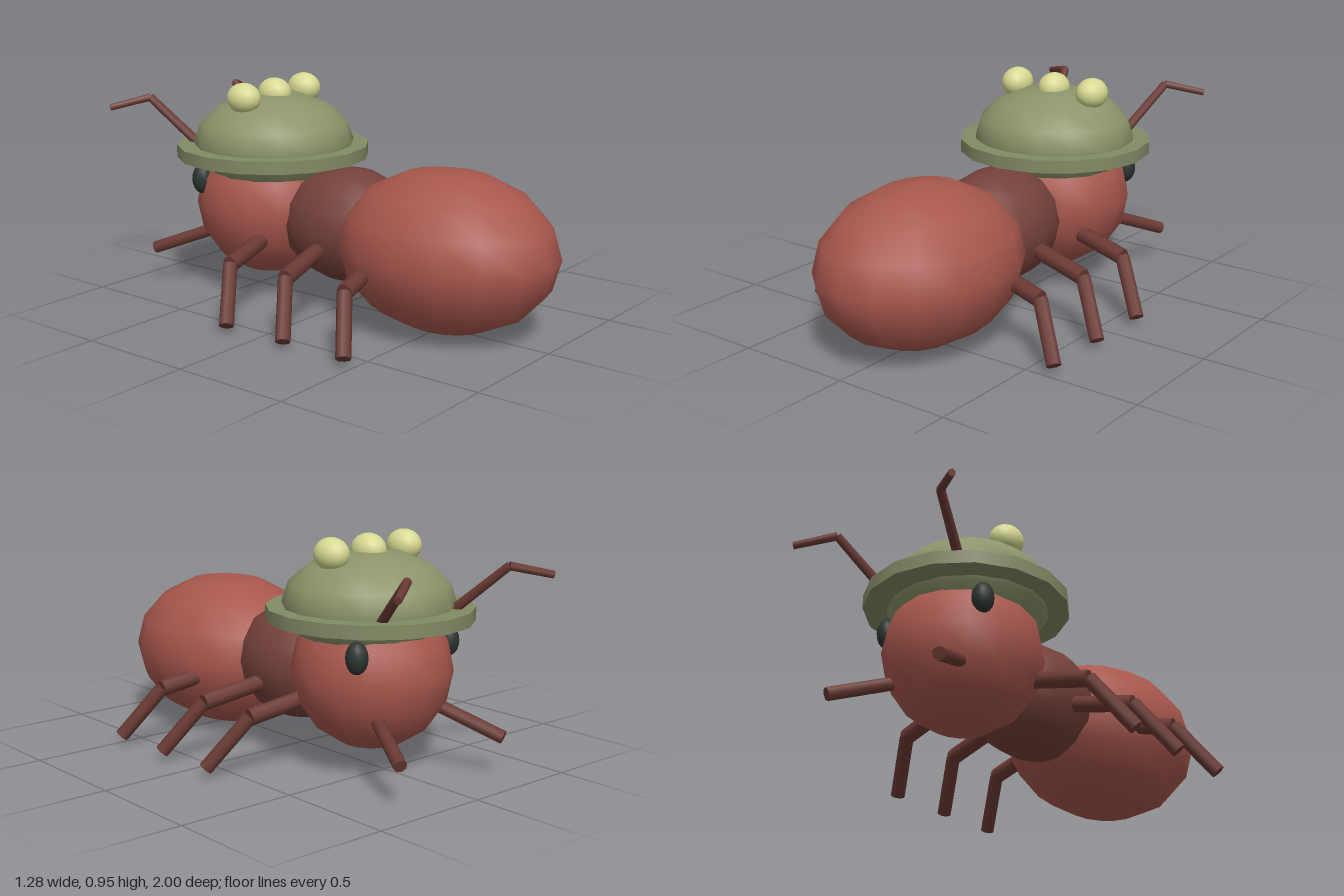
import * as THREE from 'three';

const mat = (color) => new THREE.MeshStandardMaterial({ color });
const red = mat(0xa8574d), darkRed = mat(0x74413b), limbRed = mat(0x6b3a34);
const green = mat(0x8b946a), brimGreen = mat(0x828b65), yellow = mat(0xd6d991), black = mat(0x2b3530);

// Smooth ellipsoid given its centre and three radii
function ellipsoid(name, center, radii, material, w = 16, h = 8) {
  const mesh = new THREE.Mesh(new THREE.SphereGeometry(1, w, h), material);
  mesh.name = name;
  mesh.position.set(...center);
  mesh.scale.set(...radii);
  return mesh;
}

// Straight rod between two points
function rod(name, from, to, rFrom, rTo) {
  const a = new THREE.Vector3(...from), b = new THREE.Vector3(...to);
  const dir = b.clone().sub(a);
  const mesh = new THREE.Mesh(new THREE.CylinderGeometry(rTo, rFrom, dir.length(), 8), limbRed);
  mesh.name = name;
  mesh.position.copy(a).add(b).multiplyScalar(0.5);
  mesh.quaternion.setFromUnitVectors(new THREE.Vector3(0, 1, 0), dir.normalize());
  return mesh;
}

export function createModel() {
  const model = new THREE.Group();
  model.name = 'helmetedAnt';

  // Body
  model.add(
    ellipsoid('abdomen', [0, 0.333, 0.52], [0.38, 0.333, 0.48], red),
    ellipsoid('thorax', [0, 0.36, 0.02], [0.245, 0.245, 0.32], darkRed),
    ellipsoid('head', [0, 0.4, -0.42], [0.325, 0.32, 0.33], red)
  );

  // Helmet: dome, brim and a row of three lamps
  const helmet = new THREE.Group();
  helmet.name = 'helmet';
  helmet.add(ellipsoid('dome', [0, 0.67, -0.4], [0.355, 0.215, 0.345], green));
  const brim = new THREE.Mesh(new THREE.CylinderGeometry(0.42, 0.42, 0.055, 16), brimGreen);
  brim.name = 'brim';
  brim.position.set(0, 0.632, -0.407);
  helmet.add(brim);
  for (const x of [-0.197, 0, 0.197]) {
    helmet.add(ellipsoid('lamp', [x, 0.88, -0.395], [0.066, 0.066, 0.078], yellow, 20, 14));
  }
  model.add(helmet);

  for (const s of [-1, 1]) {
    const side = s > 0 ? 'left' : 'right';
    model.add(ellipsoid(side + 'Eye', [s * 0.25, 0.512, -0.6], [0.045, 0.065, 0.045], black, 14, 10));

    // Bent antenna
    const antenna = new THREE.Group();
    antenna.name = side + 'Antenna';
    const elbow = [s * 0.275, 0.845, -0.885];
    antenna.add(
      rod('antennaBase', [s * 0.19, 0.64, -0.66], elbow, 0.021, 0.018),
      rod('antennaTip', elbow, [s * 0.42, 0.808, -0.985], 0.017, 0.015)
    );
    model.add(antenna);

    model.add(rod(side + 'Mandible', [s * 0.165, 0.265, -0.62], [s * 0.285, 0.16, -0.875], 0.027, 0.027));

    // Three two-part legs
    [-0.3, 0, 0.3].forEach((z, i) => {
      const leg = new THREE.Group();
      leg.name = side + ['Front', 'Middle', 'Rear'][i] + 'Leg';
      const knee = [s * 0.475, 0.243, z + 0.07];
      leg.add(
        rod('upperLeg', [s * 0.18, 0.3, z + 0.02], knee, 0.035, 0.035),
        rod('lowerLeg', knee, [s * 0.615, 0.038, z + 0.175], 0.031, 0.031)
      );
      model.add(leg);
    });
  }
  return model;
}
